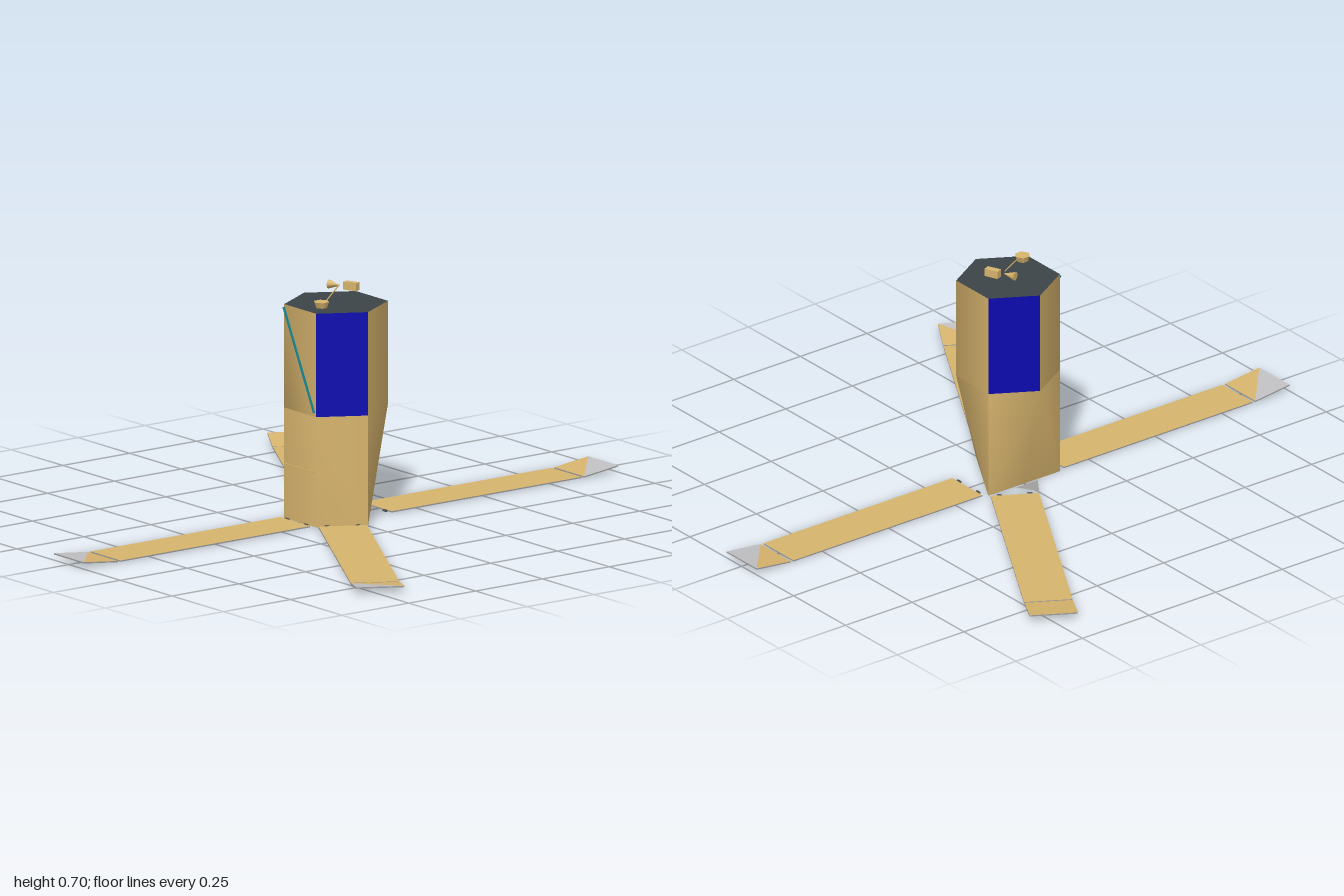
import * as THREE from 'three';

const mat = (name, color) => {
  const m = new THREE.MeshStandardMaterial({ color, side: THREE.DoubleSide });
  m.name = name;
  return m;
};

export function createModel() {
  const gold = mat('gold foil', 0xd7b46d);
  const blue = mat('solar blue', 0x0a0ab0);
  const deck = mat('deck grey', 0x3c4447);
  const under = mat('underside grey', 0x9f9f9f);
  const dark = mat('hinge grey', 0x4e4e4e);
  const silver = mat('silver', 0xc1bfc2);
  const teal = mat('teal', 0x147d88);
  const model = new THREE.Group();

  const R = 0.155, TOP = 0.655, MID = 0.34, FLOOR = 0.004;
  const add = (parent, name, geo, material) => {
    const mesh = new THREE.Mesh(geo, material);
    mesh.name = name;
    parent.add(mesh);
    return mesh;
  };
  const build = (points, index) => {
    const g = new THREE.BufferGeometry();
    g.setAttribute('position', new THREE.Float32BufferAttribute(points.flat(), 3));
    g.setIndex(index);
    g.computeVertexNormals();
    return g;
  };
  const corner = (i, y, r = R) => {
    const a = i * Math.PI / 3;
    return [r * Math.cos(a), y, r * Math.sin(a)];
  };
  // Corners 3 and 5 are folded in at the floor
  const folded = i => i === 3 || i === 5;
  const six = [0, 1, 2, 3, 4, 5];

  // Chosen faces of the six-sided wall, smooth among themselves
  const wall = (upper, lower, faces) => {
    const index = [];
    for (const i of faces) {
      const j = (i + 1) % 6, b = i + 6, c = j + 6;
      index.push(...(folded(i) ? [i, j, c, i, c, b] : [i, j, b, j, c, b]));
    }
    return build([...upper, ...lower], index);
  };
  const fan = (ring, up) => build(ring, [1, 2, 3, 4].flatMap(i => up ? [0, i + 1, i] : [0, i, i + 1]));

  // Body: straight upper half with two solar faces, folded lower half
  const top = six.map(i => corner(i, TOP)), mid = six.map(i => corner(i, MID));
  const floor = six.map(i => corner(i, FLOOR, folded(i) ? R / 2 : R));
  for (const f of [0, 3]) {
    add(model, 'solarPanel', wall(top, mid, [f]), blue);
    add(model, 'upperBody', wall(top, mid, [f + 1, f + 2 === 5 ? 5 : f + 2]), gold);
  }
  for (const f of [0, 2, 4]) add(model, 'lowerBody', wall(mid, floor, [f, f + 1]), gold);
  add(model, 'topDeck', fan(top, true), deck);
  add(model, 'bodyFloor', fan(floor, false), gold);

  // Small floor flap below one folded corner
  add(model, 'floorFlap', build([corner(2.6, 0.008, 0.1), corner(3, 0.008, 0.15), corner(3.4, 0.008, 0.1)],
    [0, 2, 1]), under);

  // Fine seam and diagonal fin on the front face
  add(model, 'frontSeam', new THREE.BoxGeometry(0.145, 0.003, 0.004), gold).position.set(0, 0.17, 0.135);
  const fin = add(model, 'diagonalFin', new THREE.PlaneGeometry(0.009, 0.33), teal);
  fin.position.set(0, 0.5, 0.139);
  fin.rotation.set(0, Math.PI / 2, Math.atan2(0.15, 0.3), 'ZYX');

  // Petals, each laid out along +z and then turned into place
  const W = 0.0725, THICK = 0.004;
  const petal = (angle, inner, outer, gap, tipCorner, mark) => {
    const g = new THREE.Group();
    g.name = 'petal';
    const bend = 0.867, y0 = 0.01, y1 = 0.025;
    const quad = (a, b, ya, yb) => [[-W, ya, a], [W, ya, a], [W, yb, b], [-W, yb, b]];
    // Underside and four thin edges of a plate
    const shell = (name, pts) => {
      const low = pts.map(([x, y, z]) => [x, y - THICK, z]);
      add(g, name + 'Underside', build(low, [0, 1, 2, 0, 2, 3]), under);
      for (let i = 0; i < 4; i++) {
        const j = (i + 1) % 4;
        add(g, name + 'Edge', build([pts[i], pts[j], low[j], low[i]], [0, 1, 2, 0, 2, 3]), under);
      }
    };
    const leaf = quad(inner, bend - gap / 2, y0, y0);
    const tip = quad(bend + gap / 2, outer, y0, y1);
    shell('leaf', leaf);
    shell('tip', tip);
    add(g, 'leafTop', build(leaf, [0, 2, 1, 0, 3, 2]), gold);
    add(g, 'tipGold', build(tip.slice(0, 3), [0, 2, 1]), gold);
    add(g, 'tipCorner', build([tip[0], tip[2], tip[3]], [0, 2, 1]), tipCorner);
    // Hinge barrels at the root
    for (const s of [-1, 1]) {
      const hinge = add(g, 'hinge', new THREE.CylinderGeometry(0.004, 0.004, 0.014, 8), dark);
      hinge.rotation.z = Math.PI / 2;
      hinge.position.set(s * 0.046, 0.008, inner - 0.005);
    }
    // Thin strip below the tip
    if (mark) {
      const strip = add(g, 'tipStrip', new THREE.BoxGeometry(0.008, 0.002, 0.06), teal);
      strip.position.set(0.062, 0.0125, 0.93);
      strip.rotation.x = -Math.atan2(y1 - y0, outer - bend);
    }
    g.rotation.y = angle;
    model.add(g);
  };
  petal(0, 0.153, 1, 0.01, silver, false);
  petal(Math.PI, 0.153, 1, 0.01, silver, false);
  petal(Math.PI / 3, 0.148, 0.985, 0.005, silver, true);
  petal(Math.PI * 4 / 3, 0.148, 0.985, 0.005, gold, true);

  // Small antenna on the deck
  const antenna = new THREE.Group();
  antenna.name = 'antenna';
  model.add(antenna);
  const base = add(antenna, 'antennaBase', new THREE.CylinderGeometry(0.024, 0.018, 0.018, 6), gold);
  base.position.set(0.05, 0.672, 0.093);
  const a = new THREE.Vector3(0.05, 0.676, 0.08), b = new THREE.Vector3(-0.03, 0.698, -0.035);
  add(antenna, 'antennaArm', new THREE.TubeGeometry(new THREE.LineCurve3(a, b), 1, 0.002, 5), gold);
  const horn = add(antenna, 'antennaHorn', new THREE.ConeGeometry(0.014, 0.04, 8), gold);
  horn.position.set(-0.052, 0.694, -0.035);
  horn.rotation.set(0, 0.4, -Math.PI / 2);
  const head = add(antenna, 'antennaHead', new THREE.BoxGeometry(0.044, 0.024, 0.02), gold);
  head.position.set(-0.01, 0.694, -0.065);
  head.rotation.y = 0.4;

  return model;
}
